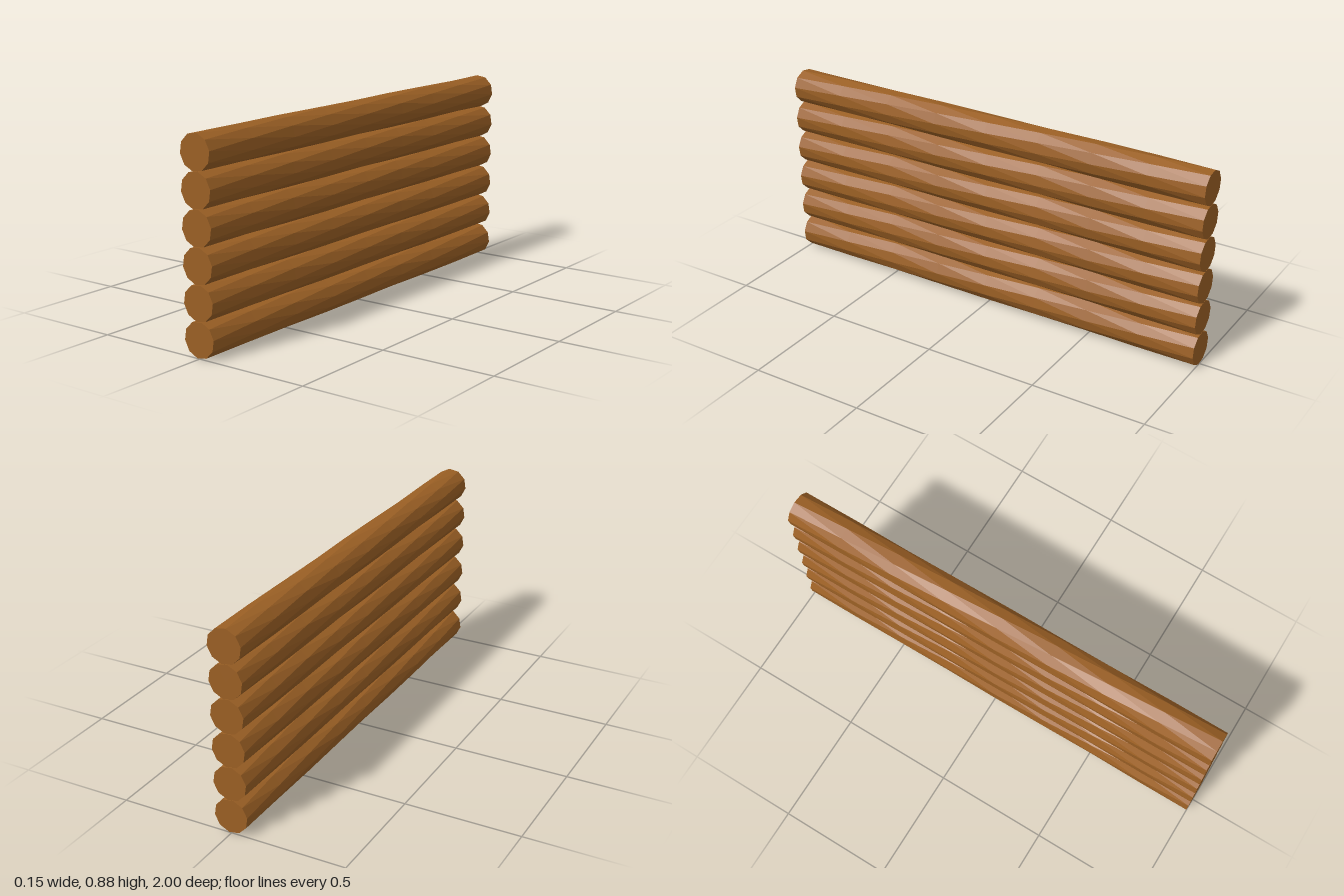
import * as THREE from 'three';

const RADIUS = 0.0745;
const PITCH = 0.1452;
const LENGTH = 2;
const TWIST = Math.PI / 2;

// Ten-sided log along z, its facets spiralling around the axis
function logGeometry() {
  const geo = new THREE.CylinderGeometry(RADIUS, RADIUS, LENGTH, 10, 8);
  geo.rotateX(Math.PI / 2);
  const p = geo.attributes.position;
  for (let i = 0; i < p.count; i++) {
    const x = p.getX(i), y = p.getY(i);
    const a = -TWIST * p.getZ(i) / LENGTH;
    p.setXY(i, x * Math.cos(a) - y * Math.sin(a), x * Math.sin(a) + y * Math.cos(a));
  }
  geo.computeVertexNormals();
  return geo;
}

export function createModel() {
  const wall = new THREE.Group();
  wall.name = 'logWall';
  const wood = new THREE.MeshStandardMaterial({ color: 0x9a5f24, flatShading: true });
  wood.name = 'brown wood';
  const geo = logGeometry();

  // Six logs stacked one above the other
  for (let i = 0; i < 6; i++) {
    const log = new THREE.Mesh(geo, wood);
    log.name = `log${i + 1}`;
    log.position.y = RADIUS + i * PITCH;
    wall.add(log);
  }
  return wall;
}
